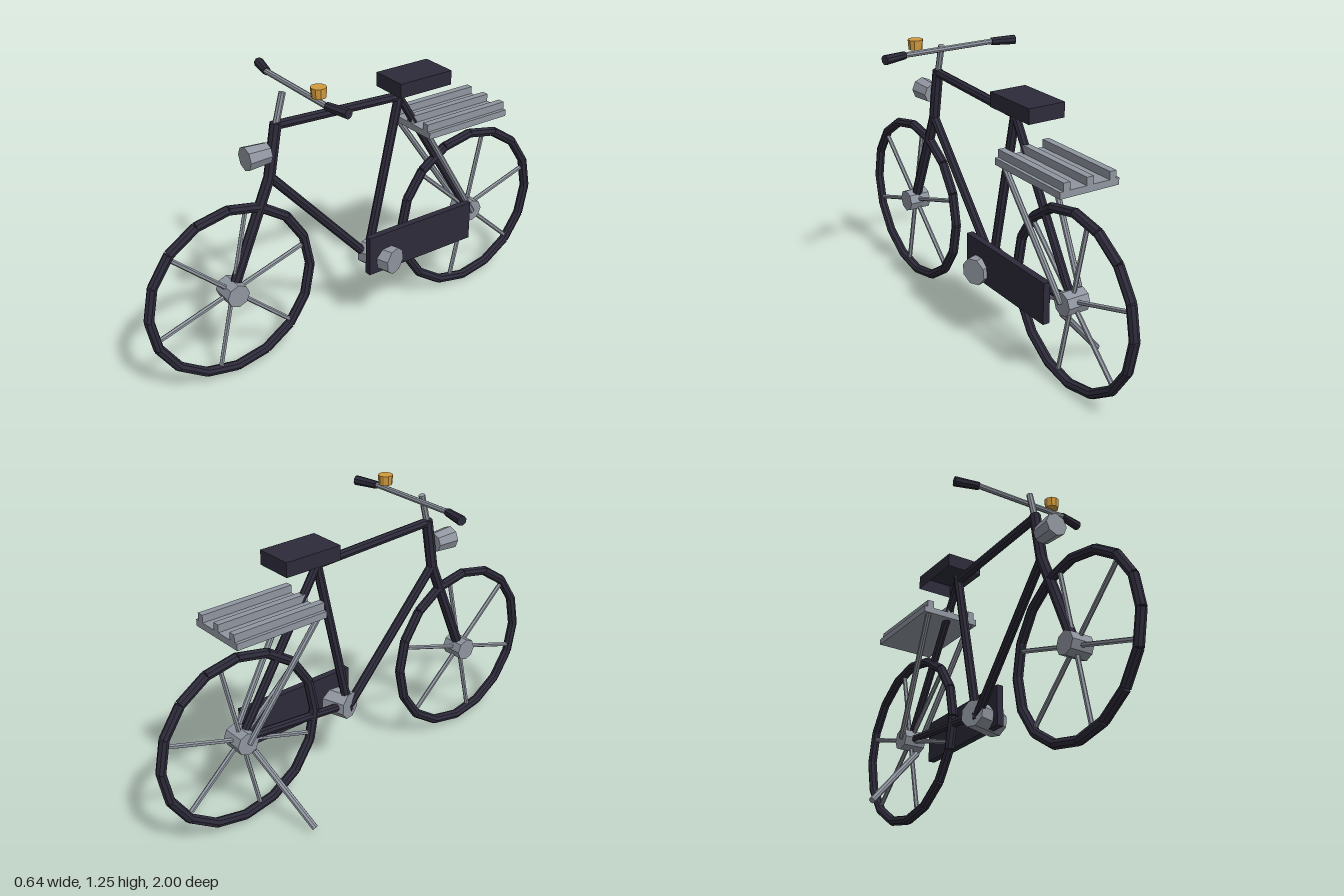
import * as THREE from 'three';

const mat = (name, color) => {
  const m = new THREE.MeshStandardMaterial({ color, flatShading: true, side: THREE.DoubleSide });
  m.name = name;
  return m;
};

export function createModel() {
  const dark = mat('dark paint', 0x2d2b3a);
  const metal = mat('grey metal', 0x9096a0);
  const brass = mat('brass', 0xd29b3e);
  const bike = new THREE.Group();
  bike.name = 'bicycle';

  const add = (name, geometry, material, parent = bike) => {
    const mesh = new THREE.Mesh(geometry, material);
    mesh.name = name;
    parent.add(mesh);
    return mesh;
  };

  // Straight rod between two points, radius r at a and rEnd at b
  const rod = (name, a, b, r, material, parent = bike, sides = 8, rEnd = r) => {
    const p = new THREE.Vector3(...a), q = new THREE.Vector3(...b);
    const dir = q.clone().sub(p);
    const mesh = add(name, new THREE.CylinderGeometry(rEnd, r, dir.length(), sides), material, parent);
    mesh.position.copy(p).add(q).multiplyScalar(0.5);
    mesh.quaternion.setFromUnitVectors(new THREE.Vector3(0, 1, 0), dir.normalize());
    return mesh;
  };

  const box = (name, size, pos, material, parent = bike) => {
    const mesh = add(name, new THREE.BoxGeometry(...size), material, parent);
    mesh.position.set(...pos);
    return mesh;
  };

  // Wheels: sixteen straight tyre pieces, six spokes and a hub
  const onCircle = (angle, r) => [0, Math.sin(angle) * r, -Math.cos(angle) * r];
  for (const [name, z] of [['frontWheel', 0.612], ['rearWheel', -0.61]]) {
    const wheel = new THREE.Group();
    wheel.name = name;
    wheel.position.set(0, 0.39, z);
    bike.add(wheel);
    for (let i = 0; i < 16; i++) {
      const step = Math.PI / 8;
      rod('tyreSegment', onCircle(i * step, 0.369), onCircle((i + 1) * step, 0.369), 0.021, dark, wheel);
    }
    for (let i = 0; i < 6; i++) {
      const a = THREE.MathUtils.degToRad(17.5 + i * 60);
      rod('spoke', [0, 0, 0], onCircle(a, 0.355), 0.01, metal, wheel, 6);
    }
    rod('hub', [-0.05, 0, 0], [0.05, 0, 0], 0.05, metal, wheel);
  }

  // Frame
  const headTop = [0, 1.07, 0.382], headLow = [0, 0.85, 0.42];
  const seatTop = [0, 1.035, -0.21], crank = [0, 0.34, -0.06];
  const rearAxle = [0, 0.39, -0.61];
  rod('headTube', headTop, headLow, 0.024, dark);
  rod('fork', headLow, [0, 0.39, 0.612], 0.023, dark);
  rod('topTube', [0, 1.06, 0.385], seatTop, 0.02, dark);
  rod('downTube', headLow, [0, 0.33, -0.05], 0.02, dark);
  rod('seatTube', [0, 1.06, -0.217], [0, 0.31, -0.052], 0.02, dark);
  rod('seatStay', seatTop, rearAxle, 0.018, dark);
  rod('chainStay', crank, rearAxle, 0.018, dark);

  // Crank drum and chain guard
  rod('crankDrum', [-0.02, 0.34, -0.06], [0.132, 0.34, -0.108], 0.06, metal);
  box('chainGuard', [0.03, 0.18, 0.555], [0.08, 0.378, -0.277], dark);

  // Saddle: a shell open underneath
  const saddle = box('saddle', [0.165, 0.062, 0.262], [0, 1.095, -0.289], dark);
  const faces = Array.from(saddle.geometry.index.array);
  faces.splice(18, 6);
  saddle.geometry.setIndex(faces);
  saddle.geometry.clearGroups();

  // Luggage rack: plate, three rails and two struts
  const rack = new THREE.Group();
  rack.name = 'luggageRack';
  bike.add(rack);
  box('rackPlate', [0.27, 0.028, 0.42], [0, 0.885, -0.482], metal, rack);
  for (const x of [-0.105, 0, 0.105])
    box('rackRail', [0.03, 0.033, 0.42], [x, 0.915, -0.482], metal, rack);
  for (const s of [-1, 1])
    rod('rackStrut', [s * 0.107, 0.88, -0.285], [s * 0.05, 0.39, -0.605], 0.013, metal, rack);

  // Steering: stem, bar, swept grips, bell
  rod('stem', [0, 1.05, 0.385], [0, 1.188, 0.348], 0.014, metal);
  rod('handlebar', [-0.23, 1.189, 0.288], [0.23, 1.189, 0.288], 0.012, metal);
  for (const s of [-1, 1])
    rod('grip', [s * 0.213, 1.189, 0.287], [s * 0.317, 1.189, 0.262], 0.017, dark, bike, 8, 0.021);
  rod('bell', [0.16, 1.208, 0.288], [0.16, 1.249, 0.288], 0.029, brass, bike, 10, 0.032);

  // Headlight
  rod('headlight', [0, 0.955, 0.425], [0, 0.955, 0.525], 0.043, metal, bike, 8, 0.05);

  // Kickstand
  rod('kickstand', [0, 0.31, -0.55], [-0.262, 0.027, -0.452], 0.014, metal);

  return bike;
}
